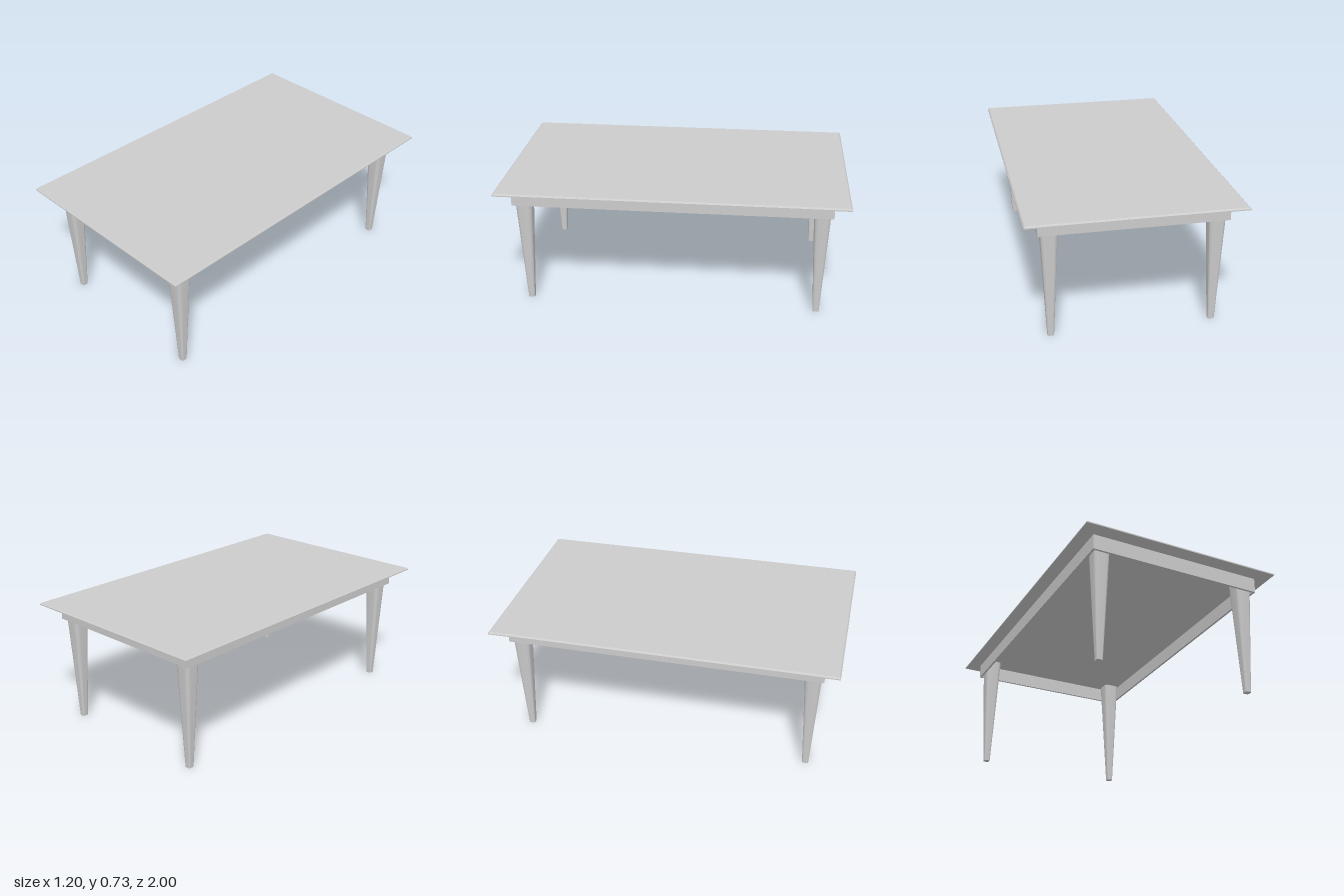
import * as THREE from 'three';
import { toCreasedNormals } from 'three/addons/utils/BufferGeometryUtils.js';

// Closed solid through stacked rounded rectangles [y, halfX, halfZ, cornerRadius]
function loft(levels, segments) {
  const pos = [], idx = [], n = 4 * (segments + 1);
  for (const [y, hx, hz, r] of levels) {
    for (let c = 0; c < 4; c++) {
      const sx = c === 0 || c === 3 ? 1 : -1, sz = c < 2 ? 1 : -1;
      for (let s = 0; s <= segments; s++) {
        const a = (c + (segments ? s / segments : 0.5)) * Math.PI / 2;
        pos.push(sx * (hx - r) + r * Math.cos(a), y, sz * (hz - r) + r * Math.sin(a));
      }
    }
  }
  const top = (levels.length - 1) * n;
  for (let k = 0; k < top; k += n) {
    for (let i = 0; i < n; i++) {
      const j = (i + 1) % n;
      idx.push(k + i, k + n + i, k + j, k + j, k + n + i, k + n + j);
    }
  }
  for (let i = 1; i < n - 1; i++) {
    idx.push(0, i, i + 1, top, top + i + 1, top + i);
  }
  const g = new THREE.BufferGeometry();
  g.setAttribute('position', new THREE.Float32BufferAttribute(pos, 3));
  g.setIndex(idx);
  return toCreasedNormals(g, 0.5);
}

function rectangle(PathType, hx, hz) {
  return new PathType([[-hx, -hz], [hx, -hz], [hx, hz], [-hx, hz]].map(p => new THREE.Vector2(...p)));
}

export function createModel() {
  const model = new THREE.Group();
  model.name = 'table';
  const material = new THREE.MeshStandardMaterial({ color: 0xcccccc });
  const add = (name, geometry) => {
    const mesh = new THREE.Mesh(geometry, material);
    mesh.name = name;
    model.add(mesh);
    return mesh;
  };

  // Thin top with a bevelled upper edge
  add('tabletop', loft([[0.714, 0.6, 1, 0], [0.72, 0.6, 1, 0], [0.728, 0.592, 0.992, 0]], 0));

  // Open frame under the top
  const frame = rectangle(THREE.Shape, 0.52, 0.912);
  frame.holes.push(rectangle(THREE.Path, 0.507, 0.899));
  const apron = new THREE.ExtrudeGeometry(frame, { depth: 0.089, bevelEnabled: false });
  apron.rotateX(-Math.PI / 2);
  add('apron', apron).position.y = 0.625;

  // Tapered legs with rounded corners, running up to the top
  const leg = loft([[0, 0.018, 0.018, 0.009], [0.714, 0.051, 0.051, 0.025]], 5);
  for (const [end, z] of [['front', 0.85], ['back', -0.85]]) {
    for (const [side, x] of [['Left', 0.456], ['Right', -0.456]]) {
      add(end + side + 'Leg', leg).position.set(x, 0, z);
    }
  }
  return model;
}
